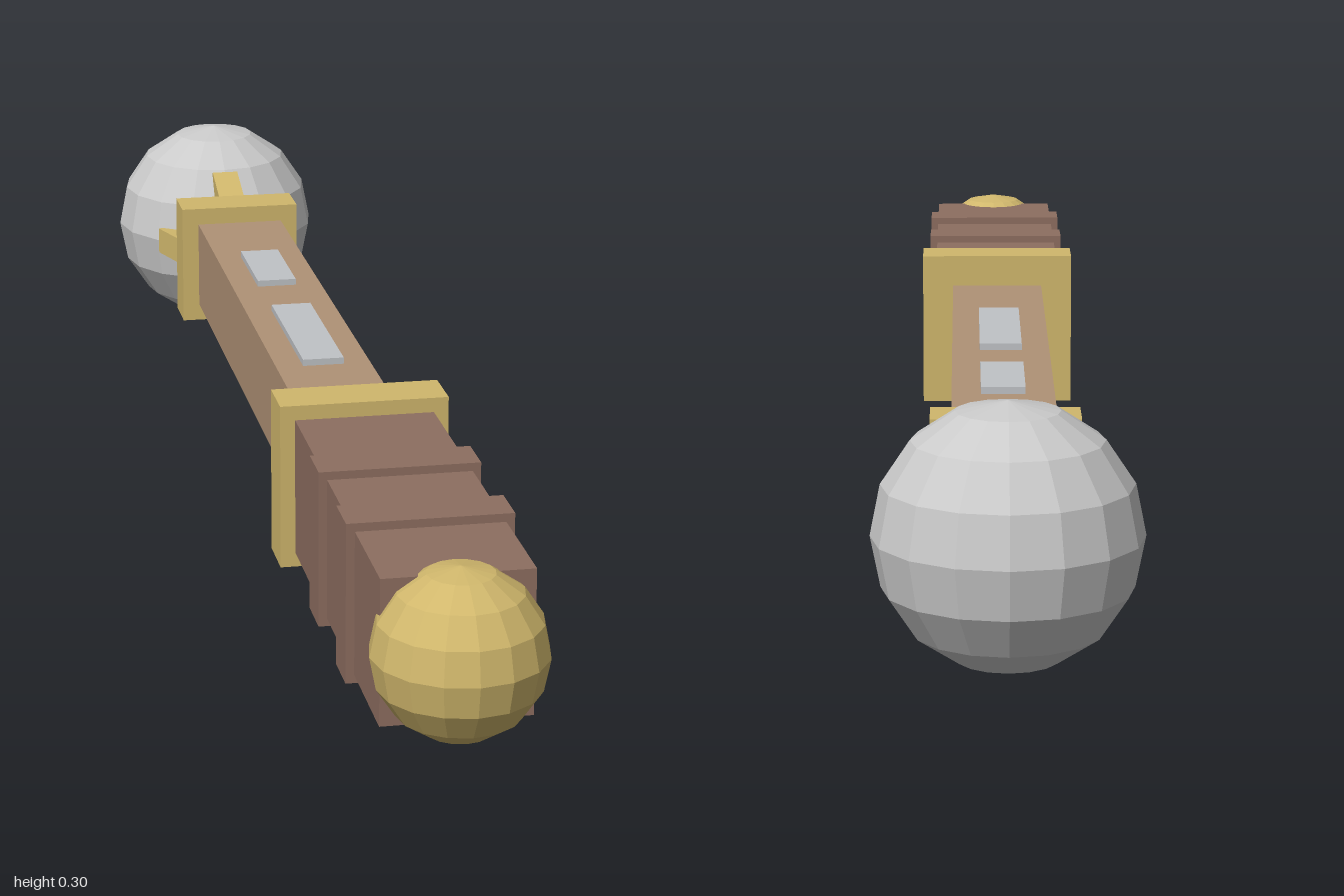
import * as THREE from 'three';

const mat = (name, color, flatShading = true) => {
  const m = new THREE.MeshStandardMaterial({ color, flatShading });
  m.name = name;
  return m;
};

export function createModel() {
  const gold = mat('gold', 0xd0b76c);
  const silver = mat('silver', 0xcacaca);
  const plate = mat('plate grey', 0xc0c3c6);
  const grip = mat('dark brown', 0x8d6e60);
  const wood = mat('light brown', 0xb09276);

  const model = new THREE.Group();
  model.name = 'sceptre';
  const axis = new THREE.Group(); // centre line of the staff
  axis.name = 'staff';
  axis.position.y = 0.15;
  model.add(axis);

  const add = (name, geometry, material, x, y, z) => {
    const mesh = new THREE.Mesh(geometry, material);
    mesh.name = name;
    mesh.position.set(x, y, z);
    axis.add(mesh);
    return mesh;
  };
  // Square bar along z, given its half width and its two ends
  const bar = (name, half, z0, z1, material) =>
    add(name, new THREE.BoxGeometry(half * 2, half * 2, z1 - z0), material, 0, 0, (z0 + z1) / 2);

  // Staff and handle
  bar('shaft', 0.0625, -0.62, 0.32, wood);
  bar('guard', 0.105, 0.3, 0.367, gold);
  bar('handle', 0.0865, 0.36, 0.89, grip);
  bar('gripRingFront', 0.0965, 0.69, 0.748, grip);
  bar('gripRingBack', 0.0965, 0.522, 0.58, grip);
  bar('collar', 0.0865, -0.665, -0.6, gold);

  // Balls at both ends
  add('pommel', new THREE.SphereGeometry(0.1, 16, 8), gold, 0, 0, 0.9);
  add('orb', new THREE.SphereGeometry(0.15, 16, 8), silver, 0, 0, -0.85);

  // Plates set on top of the shaft
  for (const [name, z0, z1] of [['longPlate', -0.155, 0.09], ['shortPlate', -0.42, -0.27]])
    add(name, new THREE.BoxGeometry(0.054, 0.009, z1 - z0), plate, 0, 0.0665, (z0 + z1) / 2);

  // Four prongs splaying outward to hold the orb
  for (let i = 0; i < 4; i++) {
    const claw = new THREE.Group();
    claw.name = 'prong' + (i + 1);
    claw.rotation.z = i * Math.PI / 2;
    const arm = add('prongArm', new THREE.BoxGeometry(0.038, 0.027, 0.11), gold, 0, 0.073, -0.693);
    arm.rotation.x = 0.33;
    claw.add(arm);
    axis.add(claw);
  }
  return model;
}
